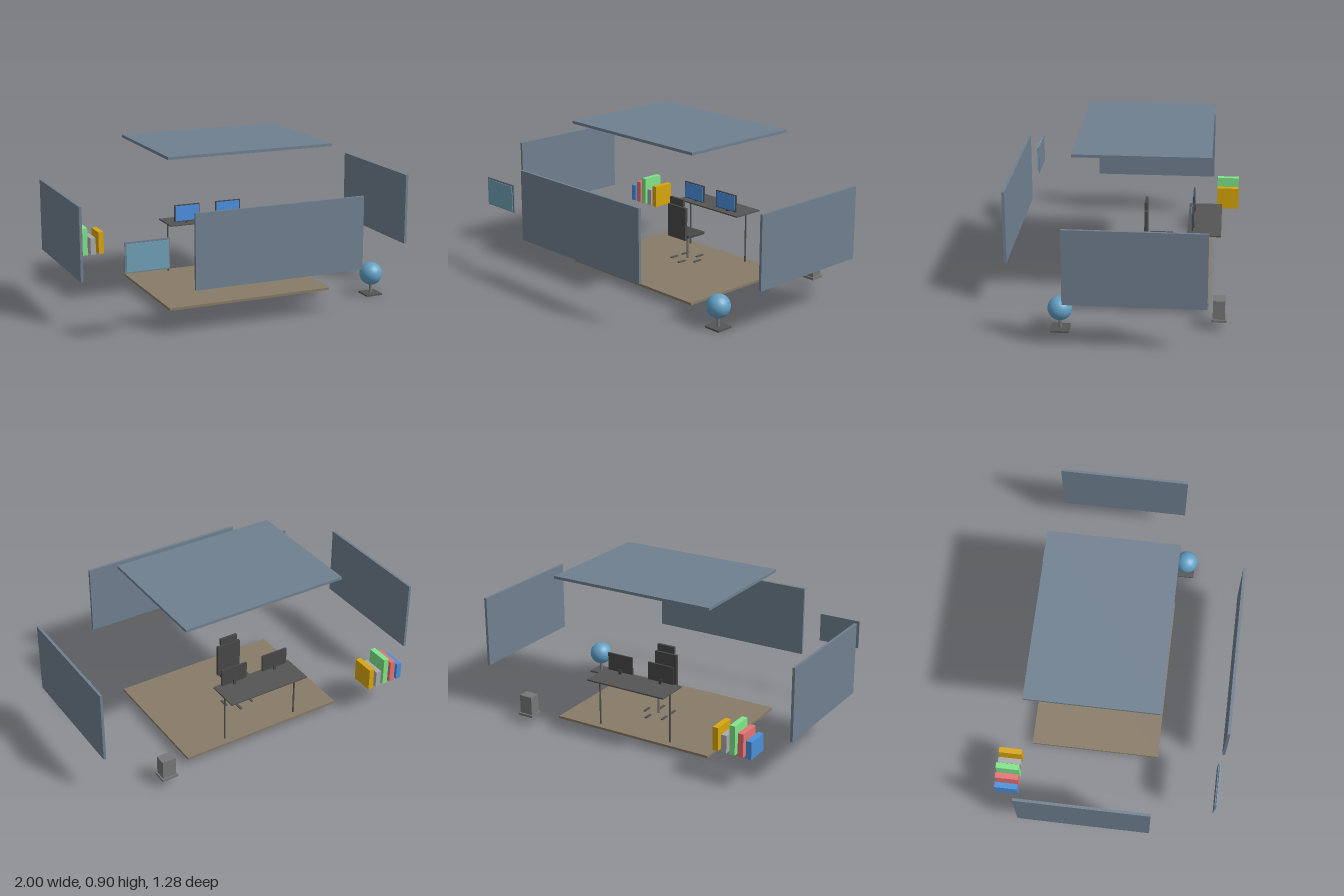
import * as THREE from 'three';

const mat = (color) => new THREE.MeshStandardMaterial({ color });
const SLATE = mat(0x708090), WOOD = mat(0x877a67), DARK = mat(0x555555), CHAIR = mat(0x484848);
const GREY = mat(0x777777), SCREEN = mat(0x4a90e2), GLASS = mat(0x6fa0b7), BLUE = mat(0x62a0c4);

// Mesh helper
function add(parent, name, geometry, material, x, y, z) {
  const m = new THREE.Mesh(geometry, material);
  m.name = name;
  m.position.set(x, y, z);
  parent.add(m);
  return m;
}

// Box given by its extents on each axis
function box(parent, name, material, [x0, x1], [y0, y1], [z0, z1]) {
  return add(parent, name, new THREE.BoxGeometry(x1 - x0, y1 - y0, z1 - z0), material,
    (x0 + x1) / 2, (y0 + y1) / 2, (z0 + z1) / 2);
}

function group(parent, name) {
  const g = new THREE.Group();
  g.name = name;
  parent.add(g);
  return g;
}

const CX = -0.003; // centre line of the furniture

export function createModel() {
  const root = new THREE.Group();
  root.name = 'explodedOffice';

  // Room shell, pulled apart
  const shell = group(root, 'roomShell');
  const roomX = [-0.497, 0.491], roomZ = [-0.484, 0.261], wallY = [0.265, 0.678];
  box(shell, 'floor', WOOD, roomX, [0.042, 0.056], roomZ);
  box(shell, 'ceiling', SLATE, roomX, [0.887, 0.903], roomZ);
  box(shell, 'frontWall', SLATE, roomX, wallY, [0.627, 0.643]);
  box(shell, 'rightWall', SLATE, [-1, -0.985], wallY, roomZ);
  box(shell, 'leftWall', SLATE, [0.985, 1], wallY, roomZ);

  // Window: frame with a pane in front
  const win = group(root, 'window');
  box(win, 'windowFrame', SLATE, [-0.87, -0.624], [0.39, 0.555], [0.599, 0.604]);
  box(win, 'windowPane', GLASS, [-0.862, -0.632], [0.398, 0.546], [0.608, 0.612]);

  // Row of books
  const books = group(root, 'books');
  [[-0.829, 0.29, 0x4a90d9], [-0.781, 0.322, 0xe57373], [-0.732, 0.355, 0x81e58a],
    [-0.682, 0.29, 0xaaaaaa], [-0.632, 0.322, 0xd9a60c]].forEach(([x, top, color]) =>
    box(books, 'book', mat(color), [x - 0.016, x + 0.016], [0.19, top], [-0.64, -0.509]));

  // Desk on two slim legs
  const desk = group(root, 'desk');
  box(desk, 'deskTop', DARK, [CX - 0.248, CX + 0.248], [0.352, 0.36], [-0.541, -0.35]);
  for (const s of [-1, 1]) {
    add(desk, 'deskLeg', new THREE.CylinderGeometry(0.005, 0.005, 0.297, 12), DARK, CX + s * 0.231, 0.204, -0.443);

    // Monitor with stand
    const mon = group(desk, 'monitor');
    const x = CX + s * 0.132;
    box(mon, 'monitorFrame', CHAIR, [x - 0.08, x + 0.08], [0.372, 0.474], [-0.384, -0.374]);
    box(mon, 'monitorScreen', SCREEN, [x - 0.074, x + 0.074], [0.377, 0.469], [-0.374, -0.371]);
    box(mon, 'monitorStand', CHAIR, [x - 0.008, x + 0.008], [0.36, 0.39], [-0.39, -0.384]);
  }

  // Office chair facing the desk
  const chair = group(root, 'chair');
  box(chair, 'seat', CHAIR, [CX - 0.073, CX + 0.073], [0.232, 0.247], [-0.259, -0.129]);
  box(chair, 'backrest', CHAIR, [CX - 0.073, CX + 0.073], [0.225, 0.422], [-0.117, -0.101]);
  box(chair, 'headrest', CHAIR, [CX - 0.054, CX + 0.054], [0.428, 0.469], [-0.117, -0.101]);
  add(chair, 'post', new THREE.CylinderGeometry(0.008, 0.008, 0.134, 16), GREY, CX, 0.149, -0.194);
  for (let i = 0; i < 5; i++) {
    const a = i * Math.PI * 2 / 5;
    add(chair, 'chairFoot', new THREE.BoxGeometry(0.013, 0.007, 0.054), DARK,
      CX + 0.081 * Math.cos(a), 0.083, -0.194 + 0.077 * Math.sin(a));
  }

  // Bin-sized cabinet on a plinth
  const cabinet = group(root, 'cabinet');
  box(cabinet, 'cabinetBase', GREY, [0.61, 0.706], [0.051, 0.065], [-0.583, -0.501]);
  box(cabinet, 'cabinetBody', GREY, [0.618, 0.698], [0.065, 0.173], [-0.574, -0.509]);

  // Globe on a square stand
  const globe = group(root, 'globe');
  add(globe, 'globeBall', new THREE.SphereGeometry(0.066, 32, 24), BLUE, 0.74, 0.124, 0.304);
  add(globe, 'globeStem', new THREE.CylinderGeometry(0.009, 0.009, 0.055, 16), GREY, 0.74, 0.036, 0.304);
  box(globe, 'globeBase', DARK, [0.69, 0.79], [0, 0.01], [0.254, 0.354]);

  return root;
}
